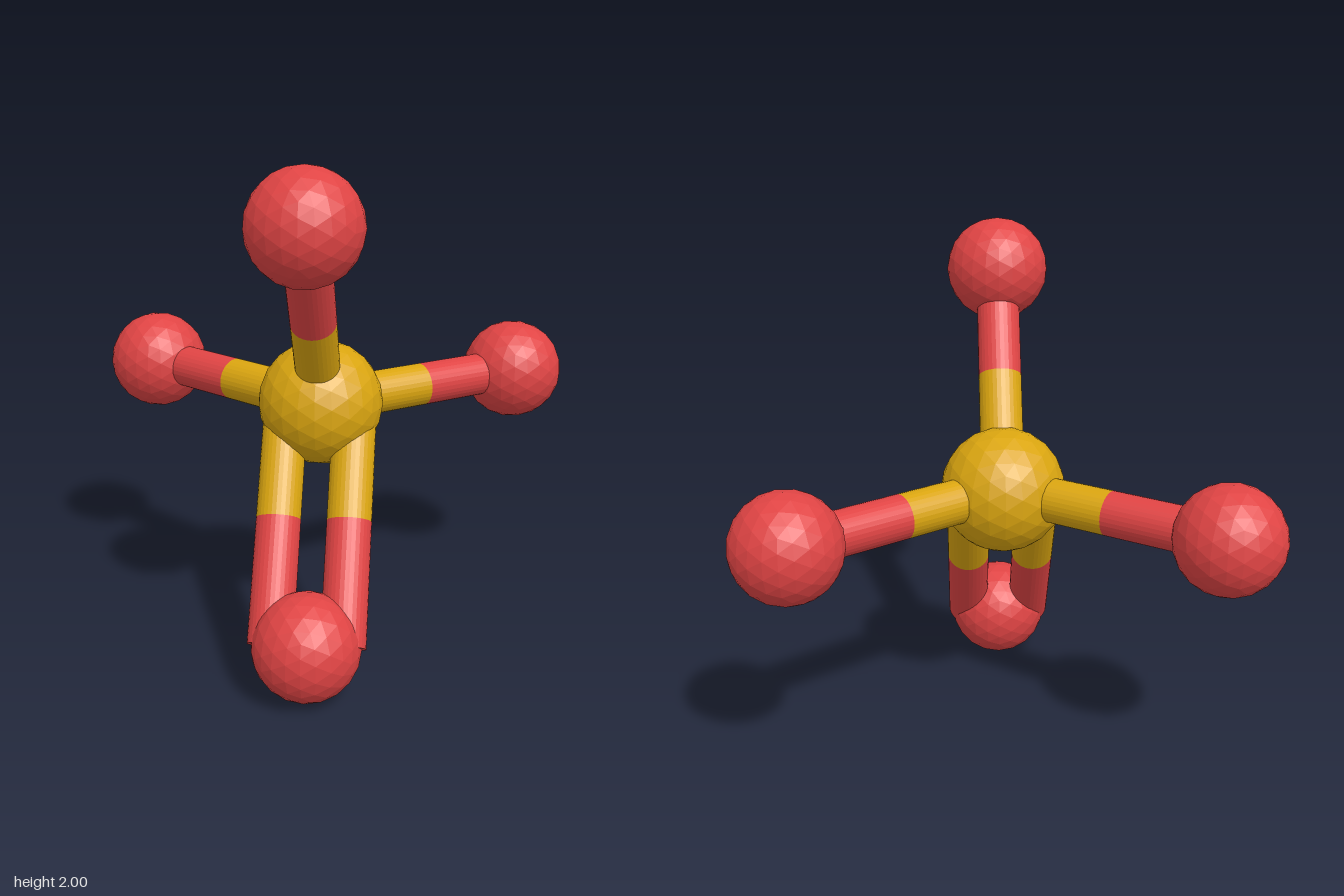
import * as THREE from 'three';

const gold = new THREE.MeshStandardMaterial({ color: 0xdaa510, flatShading: true });
const red = new THREE.MeshStandardMaterial({ color: 0xe04444, flatShading: true });
const UP = new THREE.Vector3(0, 1, 0);

// Faceted ball
function ball(name, radius, position, material) {
  const mesh = new THREE.Mesh(new THREE.IcosahedronGeometry(radius, 3), material);
  mesh.name = name;
  mesh.position.copy(position);
  return mesh;
}

// Straight rod between two points
function rod(name, from, to, material) {
  const dir = to.clone().sub(from);
  const mesh = new THREE.Mesh(new THREE.CylinderGeometry(0.088, 0.088, dir.length(), 32), material);
  mesh.name = name;
  mesh.position.copy(from).lerp(to, 0.5);
  mesh.quaternion.setFromUnitVectors(UP, dir.normalize());
  return mesh;
}

// Bond in two colours, split at its middle and shifted sideways by dx
function bond(name, from, to, dx = 0) {
  const group = new THREE.Group();
  group.name = name;
  const mid = from.clone().lerp(to, 0.5);
  group.add(rod('innerHalf', from, mid, gold), rod('outerHalf', mid, to, red));
  group.position.x = dx;
  return group;
}

export function createModel() {
  const model = new THREE.Group();
  model.name = 'molecule';

  // Central atom
  const centre = new THREE.Vector3(0, 1, 0);
  model.add(ball('centralAtom', 0.25, centre, gold));

  // Four outer atoms in a tetrahedron; the lower one has a double bond
  const outer = [
    ['upper', 0, 1.79, 0.558, [0]],
    ['lower', 0, 0.21, 0.558, [-0.138, 0.138]],
    ['left', 0.79, 1, -0.558, [0]],
    ['right', -0.79, 1, -0.558, [0]],
  ];
  for (const [name, x, y, z, shifts] of outer) {
    const end = new THREE.Vector3(x, y, z);
    model.add(ball(name + 'Atom', 0.21, end, red));
    for (const dx of shifts) model.add(bond(name + 'Bond', centre, end, dx));
  }
  return model;
}
